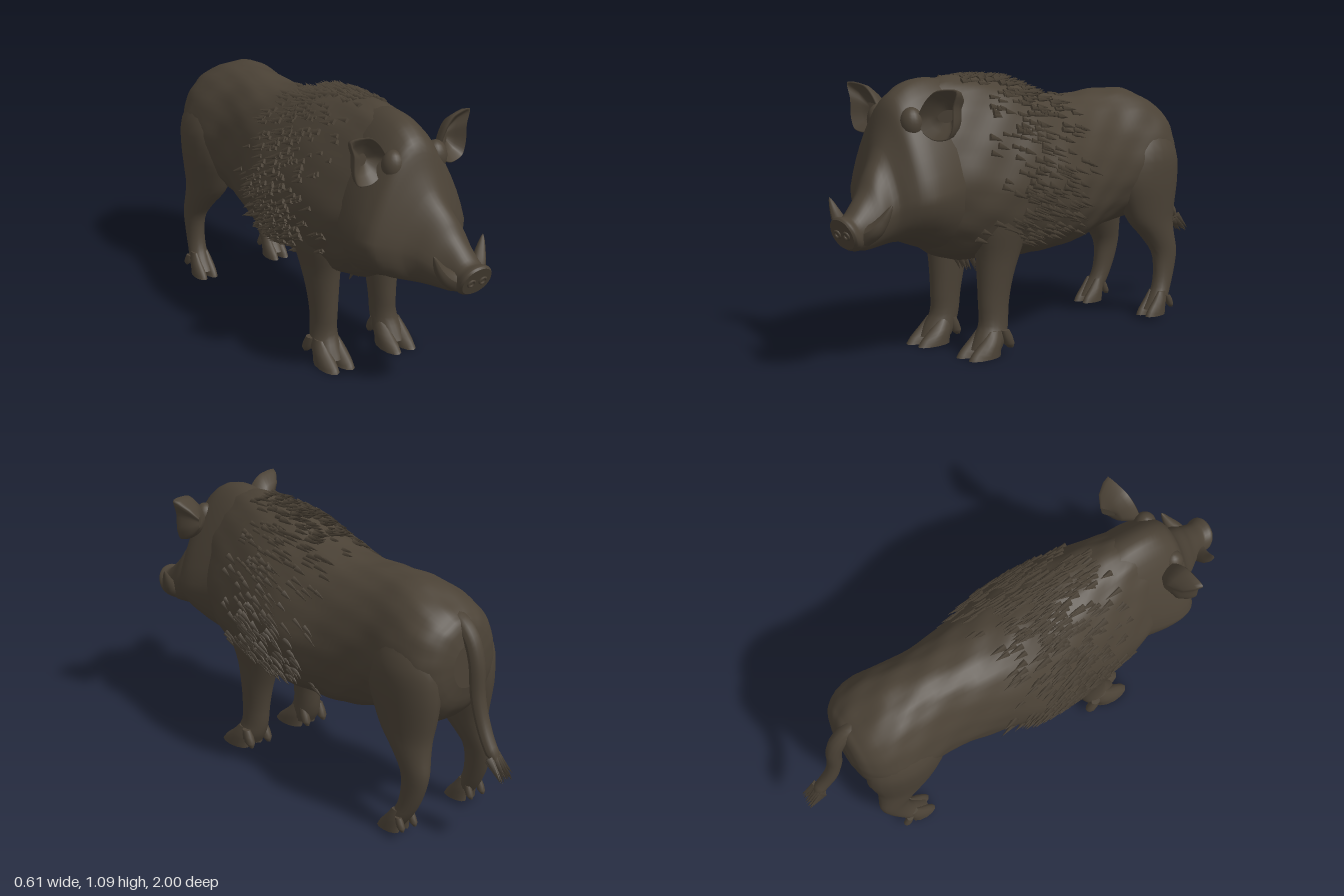
import * as THREE from 'three';
import { mergeGeometries } from 'three/addons/utils/BufferGeometryUtils.js';

const V = (x, y, z) => new THREE.Vector3(x, y, z);

// Skin over closed rings of points, capped at both ends
function loft(rings) {
  const n = rings[0].length, pts = rings.flat(), idx = [];
  for (let i = 0; i < rings.length - 1; i++) for (let j = 0; j < n; j++) {
    const a = i * n + j, b = i * n + (j + 1) % n;
    idx.push(a, b, a + n, b, b + n, a + n);
  }
  [rings[0], rings[rings.length - 1]].forEach((ring, end) => {
    const base = pts.length, centre = ring.reduce((s, p) => s.add(p), V(0, 0, 0)).divideScalar(n);
    pts.push(...ring, centre);
    for (let j = 0; j < n; j++) {
      const a = base + j, b = base + (j + 1) % n;
      idx.push(...(end ? [a, b] : [b, a]), base + n);
    }
  });
  const g = new THREE.BufferGeometry().setFromPoints(pts);
  g.setIndex(idx);
  g.computeVertexNormals();
  return g;
}

function mirrored(g) {
  const m = g.clone().scale(-1, 1, 1), ix = m.index.array;
  for (let i = 0; i < ix.length; i += 3) [ix[i], ix[i + 1]] = [ix[i + 1], ix[i]];
  m.computeVertexNormals();
  return m;
}

// Smooth interpolation of rows whose first value is the station
function profile(rows) {
  const size = rows[0].length - 1;
  const it = new THREE.CubicInterpolant(rows.map(r => r[0]), rows.flatMap(r => r.slice(1)), size, new Float32Array(size));
  return t => Array.from(it.evaluate(t));
}
const stations = (rows, k) => rows.slice(1).flatMap((r, i) =>
  Array.from({ length: k }, (_, j) => THREE.MathUtils.lerp(rows[i][0], r[0], j / k))).concat(rows[rows.length - 1][0]);
const ringOf = (n, f) => Array.from({ length: n }, (_, j) => f(j / n * Math.PI * 2));

// z, centre x, widest height, top, bottom, half width, narrowing toward the top
const BODY = [
  [-0.785, 0, 0.71, 0.8, 0.62, 0.08, 0], [-0.77, 0, 0.7, 0.86, 0.56, 0.135, 0],
  [-0.735, 0, 0.69, 0.9, 0.5, 0.185, 0], [-0.68, 0, 0.69, 0.935, 0.45, 0.215, 0],
  [-0.57, 0, 0.68, 0.978, 0.43, 0.225, 0.05], [-0.4, 0, 0.67, 0.982, 0.41, 0.205, 0.05],
  [-0.2, 0, 0.66, 0.975, 0.355, 0.235, 0.08], [0, 0, 0.66, 1.01, 0.35, 0.287, 0.15],
  [0.15, 0, 0.66, 1.065, 0.355, 0.287, 0.2], [0.3, 0, 0.67, 1.08, 0.36, 0.268, 0.2],
  [0.45, 0, 0.69, 1.08, 0.385, 0.238, 0.25], [0.6, 0, 0.72, 1.05, 0.47, 0.19, 0.3]];
const HEAD = [
  [0.35, 0, 0.72, 1.05, 0.42, 0.2, 0.2], [0.5, 0, 0.7, 1.085, 0.42, 0.22, 0.35],
  [0.6, 0, 0.68, 1.078, 0.45, 0.235, 0.42], [0.67, 0, 0.67, 1.045, 0.475, 0.232, 0.42],
  [0.715, 0, 0.665, 0.995, 0.48, 0.212, 0.38], [0.745, 0.008, 0.655, 0.905, 0.48, 0.175, 0.36],
  [0.775, 0.02, 0.635, 0.835, 0.477, 0.13, 0.33], [0.84, 0.045, 0.6, 0.745, 0.475, 0.1, 0.3],
  [0.885, 0.058, 0.565, 0.67, 0.475, 0.08, 0.2], [0.93, 0.068, 0.545, 0.612, 0.48, 0.064, 0],
  [0.965, 0.07, 0.545, 0.612, 0.483, 0.07, 0], [0.976, 0.07, 0.545, 0.604, 0.49, 0.063, 0]];
const bodyAt = profile(BODY), headAt = profile(HEAD);
function sectionPoint(at, z, a, lean = 0) {
  const [cx, mid, top, bot, w, pinch] = at(z);
  const c = Math.cos(a), s = Math.sin(a);
  const x = cx + w * Math.sign(c) * Math.abs(c) ** 0.9 * (1 - pinch * Math.max(s, 0));
  const y = mid + (s > 0 ? top - mid : mid - bot) * s;
  return V(x, y, z + lean * (y - mid));
}
// Loose folds in the hide
const folds = (z, a) => 1 + 0.014 * Math.sin(7 * a + 9 * z) * Math.sin(23 * z + 3 * a) + 0.006 * Math.sin(17 * a - 14 * z);
const bodyGeometry = () => loft(stations(BODY, 6).map(z => ringOf(72, a => {
  const p = sectionPoint(bodyAt, z, a), k = folds(z, a);
  return V(p.x * k, 0.68 + (p.y - 0.68) * k, z);
})));
const headGeometry = () => loft(stations(HEAD, 4).map(z =>
  ringOf(36, a => sectionPoint(headAt, z, a, 0.4 * THREE.MathUtils.smoothstep(z, 0.86, 0.95)))));

// Leg rows go up from the ankle: y, x, z, half width, half depth
const FRONT = [
  [0.03, 0.15, 0.345, 0.058, 0.07], [0.07, 0.15, 0.322, 0.058, 0.07], [0.12, 0.145, 0.302, 0.051, 0.064],
  [0.2, 0.142, 0.297, 0.051, 0.068], [0.3, 0.142, 0.288, 0.06, 0.08], [0.4, 0.145, 0.275, 0.072, 0.103],
  [0.5, 0.155, 0.27, 0.085, 0.13], [0.62, 0.165, 0.26, 0.09, 0.14], [0.75, 0.15, 0.25, 0.08, 0.12]];
const HIND = [
  [0.04, 0.185, -0.6, 0.044, 0.045], [0.08, 0.185, -0.63, 0.042, 0.046], [0.13, 0.18, -0.66, 0.038, 0.046],
  [0.2, 0.175, -0.682, 0.038, 0.054], [0.28, 0.17, -0.686, 0.043, 0.068], [0.35, 0.16, -0.655, 0.056, 0.09],
  [0.42, 0.15, -0.62, 0.07, 0.122], [0.5, 0.145, -0.605, 0.084, 0.15], [0.6, 0.145, -0.595, 0.094, 0.172],
  [0.72, 0.14, -0.6, 0.096, 0.155], [0.84, 0.11, -0.6, 0.07, 0.1]];
function column(rows, n = 20, k = 3) {
  const at = profile(rows);
  return loft(stations(rows, k).map(y => {
    const [x, z, rx, rz] = at(y);
    return ringOf(n, a => V(x + rx * Math.cos(a), y, z - rz * Math.sin(a)));
  }));
}
const hoof = (x, y, z, s) => column([
  [y, x, z + 0.03 * s, 0.036 * s, 0.078 * s], [y + 0.025, x, z + 0.018 * s, 0.035 * s, 0.068 * s],
  [y + 0.06, x, z - 0.008 * s, 0.03 * s, 0.05 * s], [y + 0.1, x, z - 0.03 * s, 0.016 * s, 0.03 * s]], 12, 2);
const dewclaw = (x, y, z, s) => column([
  [y, x, z - 0.012 * s, 0.008 * s, 0.01 * s], [y + 0.02 * s, x, z - 0.002 * s, 0.02 * s, 0.024 * s],
  [y + 0.075 * s, x, z + 0.02 * s, 0.016 * s, 0.02 * s]], 10, 2);

// Tube whose radius follows a rule along its length
function taper(points, radius, n = 24) {
  const curve = new THREE.CatmullRomCurve3(points.map(p => V(...p)));
  const g = new THREE.TubeGeometry(curve, n, 1, 12), pos = g.attributes.position, v = V(0, 0, 0);
  for (let i = 0; i < pos.count; i++) {
    const t = Math.floor(i / 13) / n, c = curve.getPointAt(t);
    v.fromBufferAttribute(pos, i).sub(c).multiplyScalar(radius(t)).add(c);
    pos.setXYZ(i, v.x, v.y, v.z);
  }
  g.computeVertexNormals();
  return g;
}

// Cupped ear: outline shrunk into a bulge behind and a hollow in front
function earGeometry(sweep) {
  const pts = new THREE.CatmullRomCurve3([
    [0.15, 0.895], [0.2, 0.87], [0.262, 0.88], [0.282, 0.93], [0.284, 1.0], [0.298, 1.06],
    [0.21, 1.055], [0.16, 1.015], [0.125, 0.95]].map(([x, y]) => V(x, y, 0)), true, 'catmullrom', 0.4).getPoints(36).slice(0, 36);
  const layers = [[0.25, -0.075], [0.65, -0.06], [0.92, -0.025], [1, 0], [0.94, 0.004], [0.65, -0.03], [0.25, -0.045]];
  return loft(layers.map(([s, z]) => pts.map(p =>
    V(0.205 + (p.x - 0.205) * s, 0.955 + (p.y - 0.955) * s, 0.655 + z + (p.x - 0.15) * sweep))));
}

let seed = 7;
const rand = () => (seed = (seed * 16807) % 2147483647) / 2147483647;
const spread = w => (rand() - 0.5) * w;

// Many small spikes of hair; rule gives root, direction, length and radius
const hair = (count, rule) => mergeGeometries(Array.from({ length: count }, () => {
  const [at, dir, len, wide] = rule();
  return new THREE.ConeGeometry(wide, len, 4).translate(0, len * 0.3, 0)
    .applyQuaternion(new THREE.Quaternion().setFromUnitVectors(V(0, 1, 0), dir.normalize())).translate(at.x, at.y, at.z);
}));

export function createModel() {
  const model = new THREE.Group();
  const hide = new THREE.MeshStandardMaterial({ color: 0x4b4236 });
  hide.name = 'dark brown hide';
  const add = (name, geometry) => {
    const m = new THREE.Mesh(geometry, hide);
    m.name = name;
    model.add(m);
    return m;
  };
  add('body', bodyGeometry());
  add('head', headGeometry());

  // Coarse coat over the shoulders, mane along the spine, fringe under the chest
  add('shoulderCoat', hair(620, () => {
    const a = -0.85 + rand() * (Math.PI + 1.7), z = -0.2 + 0.22 * (rand() + rand() + rand());
    const dir = V(Math.cos(a) * 0.18, Math.sin(a) * 0.17 - Math.abs(Math.cos(a)) * 0.45, -1);
    return [sectionPoint(bodyAt, z, a), dir, 0.05 + rand() * 0.035, 0.009 + rand() * 0.007];
  }));
  add('mane', hair(70, () => [sectionPoint(bodyAt, -0.02 + rand() * 0.4, Math.PI / 2 + spread(0.5)), V(spread(0.3), 0.3, -1), 0.055, 0.012]));
  add('chestFringe', hair(16, () => [V(spread(0.1), 0.36, 0.26 + spread(0.16)), V(spread(0.4), -1, -0.5), 0.07, 0.014]));

  // Legs with cloven hooves and dewclaws
  for (const [name, rows, x, z, y, s] of [['front', FRONT, 0.15, 0.355, 0, 1], ['hind', HIND, 0.185, -0.61, 0.015, 0.72]]) {
    const parts = {
      Leg: column(rows),
      InnerHoof: hoof(x - 0.036 * s, y, z, s), OuterHoof: hoof(x + 0.036 * s, y, z, s),
      InnerDewclaw: dewclaw(x - 0.04 * s, y + 0.025, z - 0.083 * s, s), OuterDewclaw: dewclaw(x + 0.052 * s, y + 0.025, z - 0.083 * s, s),
    };
    for (const part in parts) {
      add(name + 'Left' + part, parts[part]);
      add(name + 'Right' + part, mirrored(parts[part]));
    }
  }

  // Ears, brows and nostrils
  add('leftEar', earGeometry(-0.25));
  add('rightEar', mirrored(earGeometry(0.1))).position.x = 0.02;
  for (const s of [-1, 1]) {
    const side = s > 0 ? 'left' : 'right';
    const brow = add(side + 'Brow', new THREE.SphereGeometry(0.05, 20, 14));
    brow.scale.set(0.9, 1.2, 0.9);
    brow.position.set(0.005 + s * 0.095, 0.93, 0.67);
    const nostril = add(side + 'Nostril', new THREE.TorusGeometry(0.014, 0.005, 8, 16));
    nostril.position.set(0.07 + s * 0.026, 0.545, 0.977);
    nostril.rotation.x = 0.38;
  }

  // Upturned tusks
  const tusk = t => 0.04 * (1 - t) ** 0.7 + 0.0005;
  add('leftTusk', taper([[0.1, 0.535, 0.9], [0.145, 0.56, 0.885], [0.172, 0.6, 0.865], [0.198, 0.655, 0.845]], tusk));
  add('rightTusk', taper([[0.03, 0.535, 0.91], [-0.015, 0.56, 0.91], [-0.05, 0.6, 0.91], [-0.083, 0.66, 0.915]], tusk));

  // Tail with a frayed tuft
  add('tail', taper([[0, 0.88, -0.66], [0, 0.865, -0.74], [0, 0.82, -0.79], [0, 0.74, -0.82], [0, 0.6, -0.835],
    [0, 0.5, -0.865], [0.005, 0.42, -0.91], [0.005, 0.35, -0.965]], t => 0.036 - 0.01 * t - 0.025 * Math.max(0, t * 10 - 9), 40));
  add('tailTuft', hair(20, () => {
    const x = spread(0.055);
    return [V(0.005 + x, 0.37 + spread(0.025), -0.94 + spread(0.02)), V(x * 5, -0.6 - rand() * 0.4, -0.85), 0.095, 0.018];
  }));
  return model;
}
